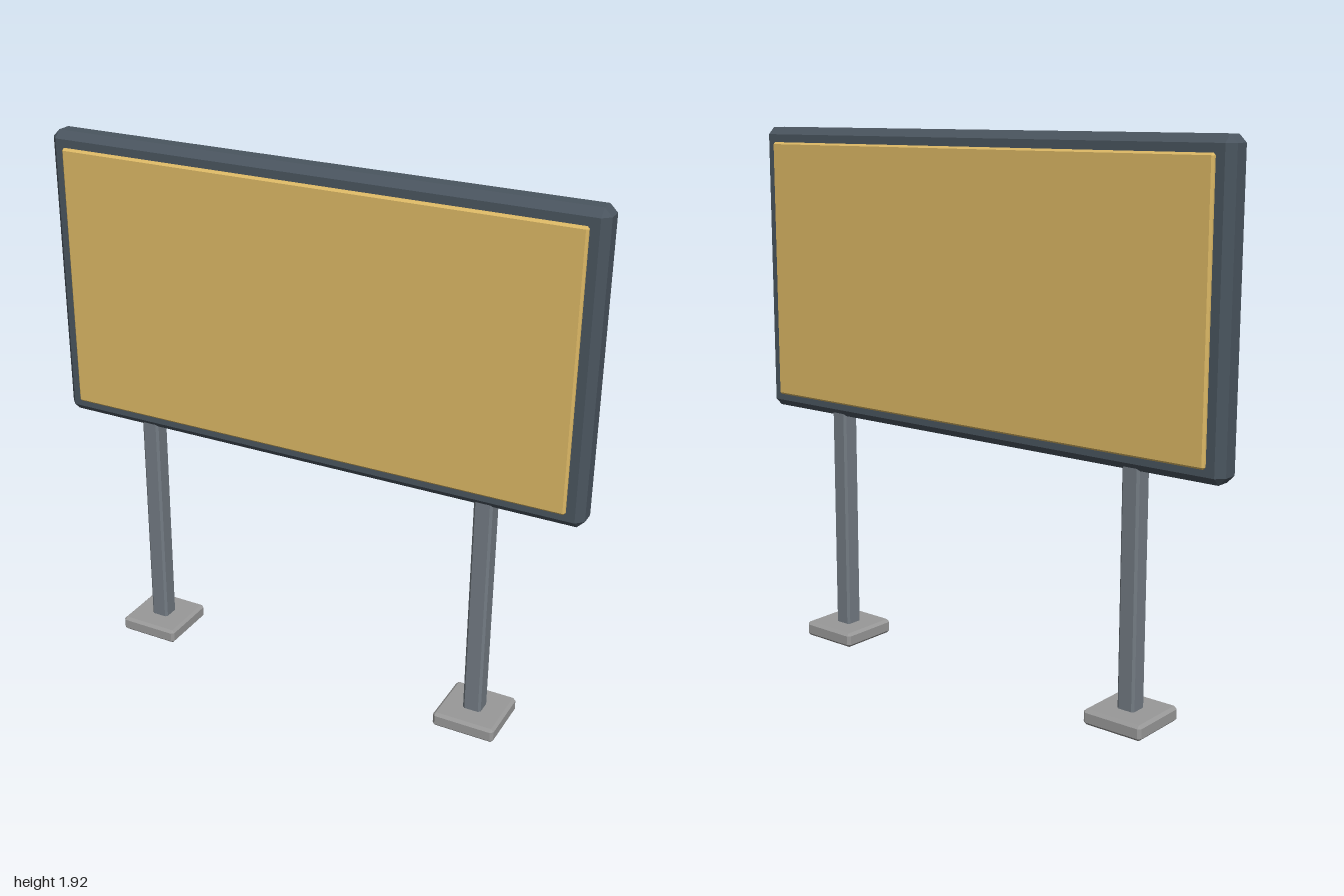
import * as THREE from 'three';
import { ConvexGeometry } from 'three/addons/geometries/ConvexGeometry.js';

// Box with every edge cut at 45 degrees
function chamferBox(w, h, d, c) {
  const points = [];
  for (const x of [-1, 1]) for (const y of [-1, 1]) for (const z of [-1, 1]) {
    for (let axis = 0; axis < 3; axis++) {
      const inset = [c, c, c];
      inset[axis] = 0;
      points.push(new THREE.Vector3(
        x * (w / 2 - inset[0]), y * (h / 2 - inset[1]), z * (d / 2 - inset[2])));
    }
  }
  return new ConvexGeometry(points);
}

export function createModel() {
  const group = new THREE.Group();
  const material = color => new THREE.MeshStandardMaterial({ color, flatShading: true });
  const frameMat = material(0x4a555f);
  const panelMat = material(0xdcb865);
  const postMat = material(0x737b83);
  const footMat = material(0x999999);

  const add = (name, geometry, mat, x, y, z) => {
    const mesh = new THREE.Mesh(geometry, mat);
    mesh.name = name;
    mesh.position.set(x, y, z);
    group.add(mesh);
  };

  // Board body
  add('frame', chamferBox(2, 1.055, 0.103, 0.026), frameMat, 0, 1.397, 0);

  // Display panels standing slightly proud on both faces
  const panel = chamferBox(1.886, 0.95, 0.03, 0.007);
  add('frontPanel', panel, panelMat, 0, 1.395, 0.05);
  add('backPanel', panel, panelMat, 0, 1.395, -0.05);

  // Posts and their foot plates
  const post = chamferBox(0.067, 0.87, 0.067, 0.008);
  const foot = chamferBox(0.228, 0.054, 0.228, 0.01);
  for (const [side, s] of [['left', 1], ['right', -1]]) {
    add(side + 'Post', post, postMat, s * 0.655, 0.465, 0);
    add(side + 'Foot', foot, footMat, s * 0.655, 0.027, 0);
  }
  return group;
}
